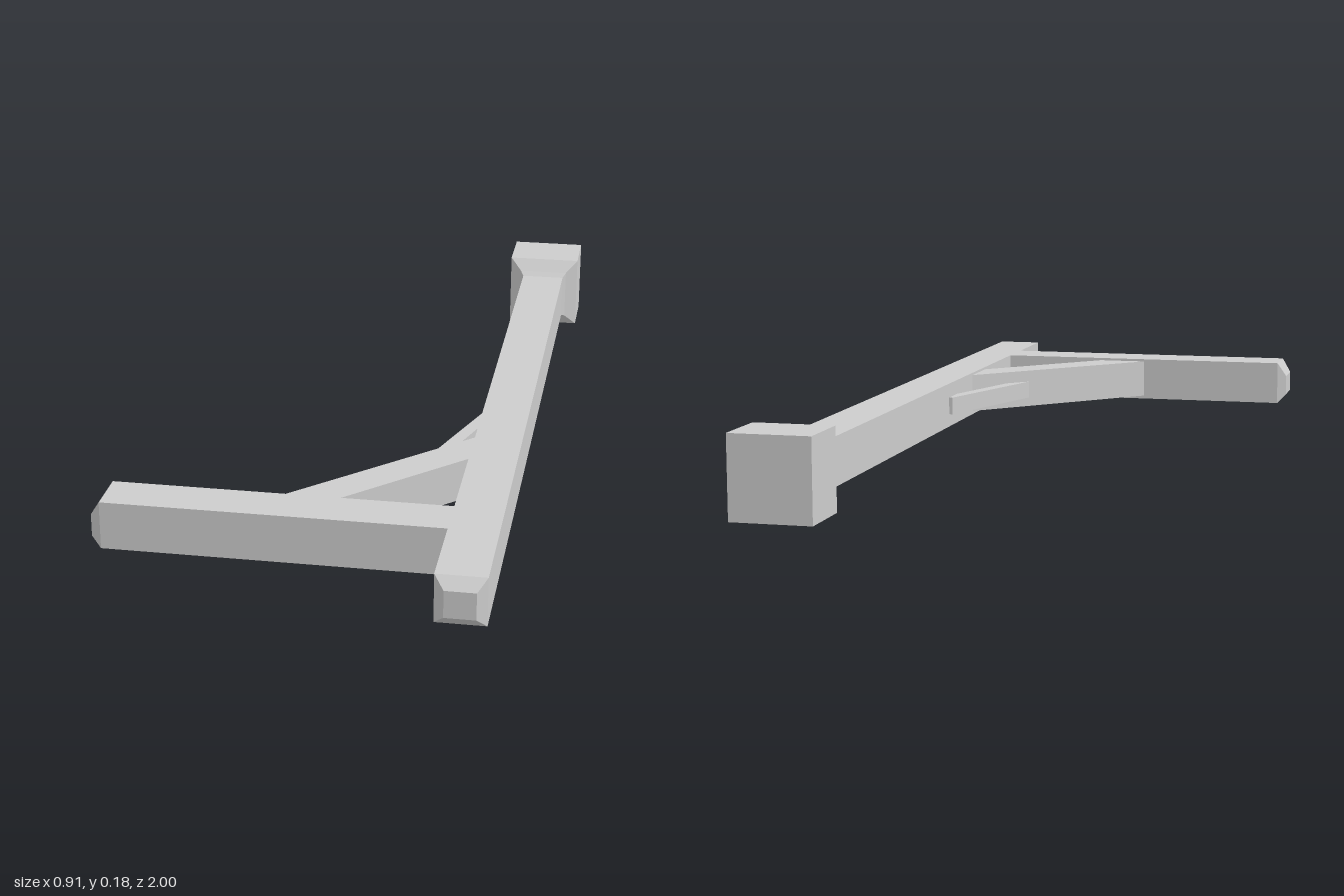
import * as THREE from 'three';

// Closed loft through rectangular sections [x0, x1, y0, y1, z], ordered by rising z
function loft(sections) {
  const p = [];
  const rings = sections.map(([x0, x1, y0, y1, z]) =>
    [[x0, y0, z], [x1, y0, z], [x1, y1, z], [x0, y1, z]]);
  const quad = (a, b, c, d) => p.push(...a, ...b, ...c, ...a, ...c, ...d);
  for (let s = 0; s < rings.length - 1; s++) {
    for (let i = 0; i < 4; i++) {
      const j = (i + 1) % 4;
      quad(rings[s][i], rings[s][j], rings[s + 1][j], rings[s + 1][i]);
    }
  }
  const [b, e] = [rings[0], rings[rings.length - 1]];
  quad(b[3], b[2], b[1], b[0]);
  quad(e[0], e[1], e[2], e[3]);
  const g = new THREE.BufferGeometry();
  g.setAttribute('position', new THREE.Float32BufferAttribute(p, 3));
  g.computeVertexNormals();
  return g;
}

// Plan outline of [x, z] points raised from y0 to y1
function slab(points, y0, y1) {
  const shape = new THREE.Shape(points.map(([x, z]) => new THREE.Vector2(x, -z)));
  const g = new THREE.ExtrudeGeometry(shape, { depth: y1 - y0, bevelEnabled: false });
  return g.rotateX(-Math.PI / 2).translate(0, y0, 0);
}

export function createModel() {
  const group = new THREE.Group();
  const grey = new THREE.MeshStandardMaterial({ color: 0xcccccc });
  grey.name = 'plain grey';
  const add = (name, geometry) => {
    const mesh = new THREE.Mesh(geometry, grey);
    mesh.name = name;
    group.add(mesh);
    return mesh;
  };

  // Square foot with a bevelled shoulder and a thin lip
  add('footBlock', loft([
    [0.273, 0.455, 0, 0.183, -1],
    [0.273, 0.455, 0, 0.183, -0.858],
    [0.302, 0.426, 0.03, 0.154, -0.835],
    [0.31, 0.418, 0.035, 0.143, -0.825],
  ]));

  // Long post with a chamfered tip
  add('post', loft([
    [0.31, 0.418, 0.035, 0.143, -0.9],
    [0.31, 0.418, 0.035, 0.143, 0.978],
    [0.332, 0.398, 0.058, 0.118, 1],
  ]));

  // Cross arm, lofted along z and then turned to run towards -x
  add('crossArm', loft([
    [0.667, 0.775, 0.035, 0.143, -0.35],
    [0.667, 0.775, 0.035, 0.143, 0.433],
    [0.678, 0.764, 0.058, 0.108, 0.455],
  ]).rotateY(-Math.PI / 2));

  // Diagonal brace between arm and post
  add('brace', slab(
    [[-0.07, 0.67], [0.05, 0.67], [0.312, 0.405], [0.312, 0.285]], 0.043, 0.137));

  // Slim strut between brace and post
  add('strut', slab(
    [[0.19, 0.405], [0.235, 0.37], [0.312, 0.138], [0.312, 0.075], [0.302, 0.075]], 0.066, 0.108));

  return group;
}
